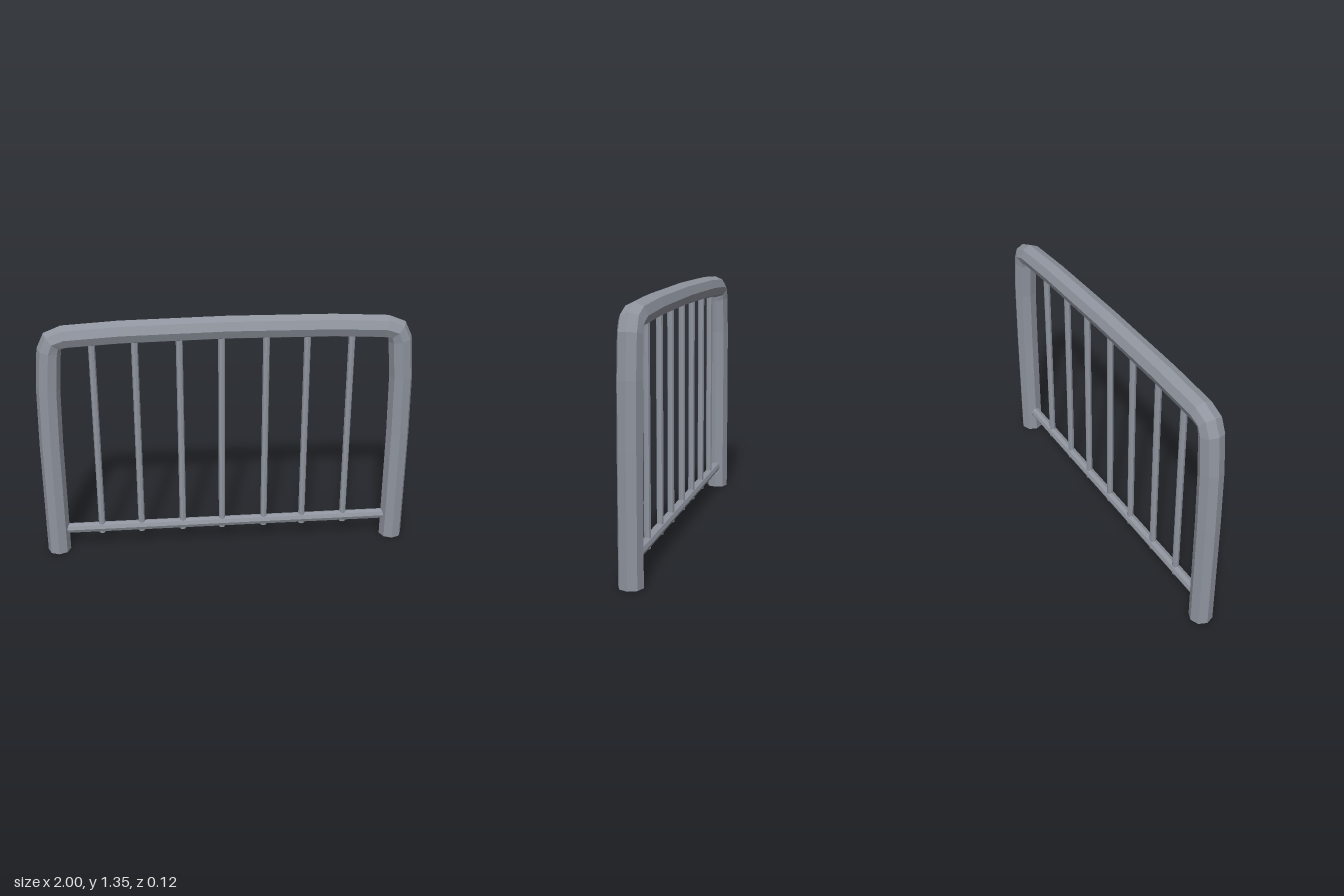
import * as THREE from 'three';

const SIDES = 8;

// Sweeps an open octagonal tube along a path in the xy plane
function sweepTube(path, radius) {
  const positions = [];
  const indices = [];
  path.forEach(([x, y], i) => {
    const [ax, ay] = path[Math.max(i - 1, 0)];
    const [bx, by] = path[Math.min(i + 1, path.length - 1)];
    // Average the directions of the two neighbouring segments
    const t = new THREE.Vector2(x - ax, y - ay).normalize()
      .add(new THREE.Vector2(bx - x, by - y).normalize()).normalize();
    for (let j = 0; j < SIDES; j++) {
      const a = (j / SIDES) * Math.PI * 2;
      const r = radius * Math.cos(a);
      positions.push(x - t.y * r, y + t.x * r, radius * Math.sin(a));
    }
  });
  for (let i = 0; i < path.length - 1; i++) {
    for (let j = 0; j < SIDES; j++) {
      const k = (j + 1) % SIDES;
      const a = i * SIDES + j, b = i * SIDES + k;
      indices.push(a, b, b + SIDES, a, b + SIDES, a + SIDES);
    }
  }
  const geometry = new THREE.BufferGeometry();
  geometry.setAttribute('position', new THREE.Float32BufferAttribute(positions, 3));
  geometry.setIndex(indices);
  geometry.computeVertexNormals();
  return geometry;
}

export function createModel() {
  const model = new THREE.Group();
  model.name = 'railing';
  const metal = new THREE.MeshStandardMaterial({
    color: 0x8f949e, flatShading: true, side: THREE.DoubleSide,
  });
  metal.name = 'grey metal';

  const add = (name, geometry) => {
    const mesh = new THREE.Mesh(geometry, metal);
    mesh.name = name;
    model.add(mesh);
    return mesh;
  };

  // Bent outer frame: two posts joined by a slightly bowed top bar
  const half = [
    [-0.9375, 0], [-0.9375, 0.65], [-0.931, 0.98], [-0.913, 1.187],
    [-0.892, 1.239], [-0.832, 1.26], [-0.55, 1.275],
  ];
  const mirrored = half.map(([x, y]) => [-x, y]).reverse();
  add('frame', sweepTube([...half, [0, 1.2825], ...mirrored], 0.0625));

  // Lower rail between the posts
  const rail = add('lowerRail', new THREE.CylinderGeometry(0.028, 0.028, 1.8, SIDES));
  rail.rotation.z = Math.PI / 2;
  rail.position.y = 0.13;

  // Thin upright bars, just poking through the lower rail
  const bottom = 0.097, top = 1.26;
  const bar = new THREE.CylinderGeometry(0.018, 0.018, top - bottom, SIDES);
  [-0.695, -0.476, -0.246, -0.027, 0.207, 0.422, 0.656].forEach((x, i) => {
    add(`bar${i + 1}`, bar).position.set(x, (top + bottom) / 2, 0);
  });

  return model;
}
